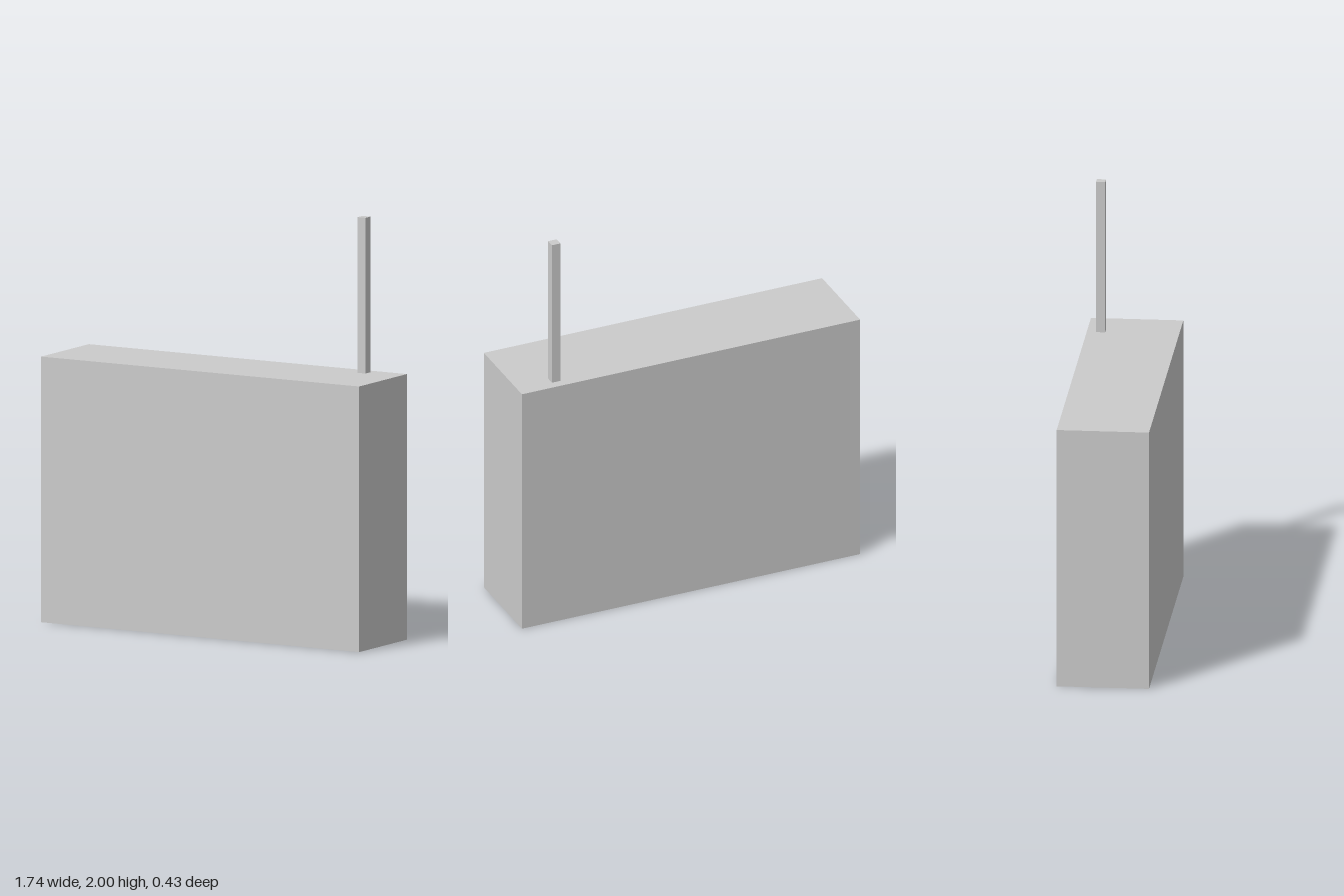
import * as THREE from 'three';

// Everything sits on a whole-unit grid, 46 units tall
const U = 2 / 46;

export function createModel() {
  const model = new THREE.Group();
  model.name = 'radio';
  const material = new THREE.MeshStandardMaterial({ color: 0xcccccc, flatShading: true });

  // Box given by its size and the centre of its base, in grid units
  const addBox = (name, [w, h, d], [x, y, z]) => {
    const mesh = new THREE.Mesh(new THREE.BoxGeometry(w * U, h * U, d * U), material);
    mesh.name = name;
    mesh.position.set(x * U, (y + h / 2) * U, z * U);
    model.add(mesh);
  };

  // Plain case
  addBox('body', [40, 29, 10], [0, 0, 0]);
  // Square rod standing on the top, near the back left corner
  addBox('antenna', [1, 17, 1], [15.5, 29, -3.5]);

  return model;
}
